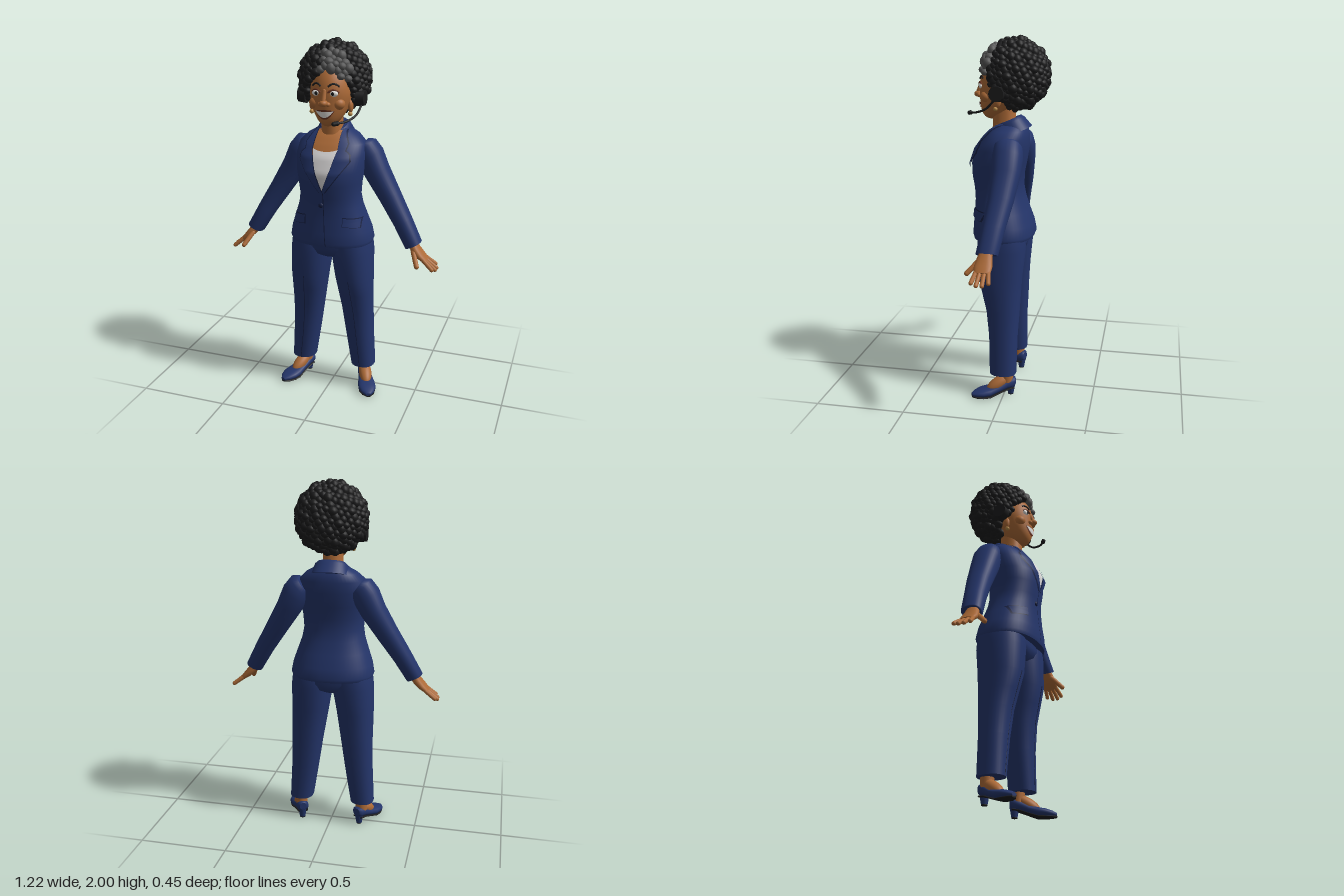
import * as THREE from 'three';
import { mergeGeometries } from 'three/addons/utils/BufferGeometryUtils.js';

const P = 2.3; // roundness of the cross-sections

const paint = (name, color) => {
  const m = new THREE.MeshStandardMaterial({ color });
  m.name = name;
  return m;
};

// Loft through rings [x, y, z, radiusX, radiusZ, tilt], listed up or down, with end caps
function loft(rows, n = 32) {
  const pos = [], idx = [], up = rows[rows.length - 1][1] > rows[0][1];
  const tri = (a, b, c) => (up ? idx.push(a, c, b) : idx.push(a, b, c));
  const pow = (v) => Math.sign(v) * Math.abs(v) ** (2 / P);
  const ring = ([x, y, z, rx, rz, t = 0]) => {
    for (let j = 0; j < n; j++) {
      const a = (j / n) * Math.PI * 2, u = rx * pow(Math.cos(a));
      pos.push(x + u * Math.cos(t), y + u * Math.sin(t), z + rz * pow(Math.sin(a)));
    }
  };
  rows.forEach(ring);
  for (let i = 0; i < rows.length - 1; i++)
    for (let j = 0; j < n; j++) {
      const k = (j + 1) % n, a = i * n, b = a + n;
      tri(a + j, a + k, b + j);
      tri(a + k, b + k, b + j);
    }
  [rows[0], rows[rows.length - 1]].forEach((r, e) => {
    const s = pos.length / 3;
    ring(r);
    pos.push(r[0], r[1], r[2]);
    for (let j = 0; j < n; j++) {
      const k = (j + 1) % n;
      e ? tri(s + j, s + k, s + n) : tri(s + k, s + j, s + n);
    }
  });
  return finish(pos, idx);
}

function finish(pos, idx) {
  const g = new THREE.BufferGeometry();
  g.setAttribute('position', new THREE.Float32BufferAttribute(pos, 3));
  g.setIndex(idx);
  g.computeVertexNormals();
  return g;
}

// Thin plate that follows a front surface; at(u, v) gives [x, y]
function patch(surface, at, off, flip = false, n = 14) {
  const pos = [], idx = [];
  for (let i = 0; i <= n; i++)
    for (let j = 0; j <= n; j++) {
      const [x, y] = at(flip ? 1 - j / n : j / n, i / n);
      pos.push(x, y, surface(x, y) + off);
    }
  for (let i = 0; i < n; i++)
    for (let j = 0; j < n; j++) {
      const a = i * (n + 1) + j, c = a + n + 1;
      idx.push(a, a + 1, c, a + 1, c + 1, c);
    }
  return finish(pos, idx);
}

// Piecewise linear lookup in [[key, value...]]
function lookup(table, key, col = 1) {
  let i = 0;
  while (i < table.length - 2 && key > table[i + 1][0]) i++;
  const a = table[i], b = table[i + 1];
  return THREE.MathUtils.lerp(a[col], b[col], THREE.MathUtils.clamp((key - a[0]) / (b[0] - a[0]), 0, 1));
}

const ball = (x, y, z, rx, ry = rx, rz = rx, w = 24, h = 16) =>
  new THREE.SphereGeometry(1, w, h).scale(rx, ry, rz).translate(x, y, z);

const tube = (pts, r, seg = 16) =>
  new THREE.TubeGeometry(new THREE.CatmullRomCurve3(pts.map((p) => new THREE.Vector3(...p))), seg, r, 8);

function finger(a, b, r) {
  const A = new THREE.Vector3(...a), d = new THREE.Vector3(...b).sub(A), len = d.length();
  const q = new THREE.Quaternion().setFromUnitVectors(new THREE.Vector3(0, 1, 0), d.clone().normalize());
  return new THREE.CapsuleGeometry(r, len, 6, 10).applyQuaternion(q).translate(...A.addScaledVector(d, 0.5).toArray());
}

// Jacket body: [y, half width, back z, front z]
const BODY = [
  [0.905, 0.228, -0.138, 0.195], [0.925, 0.236, -0.146, 0.2], [0.98, 0.226, -0.135, 0.197], [1.05, 0.202, -0.11, 0.19],
  [1.12, 0.178, -0.088, 0.188], [1.18, 0.168, -0.077, 0.192], [1.25, 0.174, -0.078, 0.204], [1.32, 0.186, -0.092, 0.206],
  [1.4, 0.193, -0.105, 0.178], [1.46, 0.183, -0.106, 0.135], [1.5, 0.142, -0.1, 0.1], [1.535, 0.08, -0.08, 0.06],
];
const bodyZ = (x, y) => {
  const rx = lookup(BODY, y), b = lookup(BODY, y, 2), f = lookup(BODY, y, 3);
  return (b + f) / 2 + ((f - b) / 2) * Math.max(0, 1 - Math.abs(x / rx) ** P) ** (1 / P);
};

// Head: ellipsoid with a narrower, forward jaw
const HEAD = { y: 1.72, z: 0.05, rx: 0.112, ry: 0.165, rz: 0.115 };
const jaw = (y) => Math.max(0, (HEAD.y - y) / HEAD.ry);
const headZ = (x, y) => {
  const t = (y - HEAD.y) / HEAD.ry, j = jaw(y), w = HEAD.rx * (1 - 0.15 * j);
  return HEAD.z + 0.05 * j * j + HEAD.rz * Math.sqrt(Math.max(0, 1 - t * t - (x / w) ** 2));
};

export function createModel() {
  const navy = paint('navy cloth', 0x24356a), seam = paint('dark navy seam', 0x151f42);
  const skin = paint('skin', 0xac6a37), lips = paint('lip brown', 0x6b3522), white = paint('white', 0xf0eeea);
  const cloth = paint('blouse', 0xdad8d8), black = paint('black', 0x1c1c1d), grey = paint('grey hair', 0x565656);
  const gold = paint('gold', 0xb88a48);
  const model = new THREE.Group();
  const add = (name, geo, mat) => {
    const m = new THREE.Mesh(geo, mat);
    m.name = name;
    model.add(m);
    return m;
  };

  // Jacket, collar and hips
  add('jacketBody', loft(BODY.map(([y, rx, b, f]) => [0, y, (b + f) / 2, rx, (f - b) / 2]), 48), navy);
  add('collar', loft([[0, -0.04, 0, 0.108, 0.1], [0, 0.02, 0, 0.09, 0.078], [0, 0.035, 0, 0.074, 0.066]])
    .rotateX(0.38).translate(0, 1.52, -0.012), navy);
  add('hips', loft([[0, 0.96, 0.025, 0.215, 0.13], [0, 0.88, 0.025, 0.225, 0.132], [0, 0.84, 0.025, 0.16, 0.12], [0, 0.82, 0.025, 0.05, 0.09]]), navy);

  // Neck, neckline and blouse
  add('neck', loft([[0, 1.44, 0.02, 0.07, 0.08], [0, 1.53, 0.03, 0.056, 0.064], [0, 1.66, 0.035, 0.055, 0.06]]), skin);
  const vee = [[1.22, 0], [1.34, 0.045], [1.44, 0.072], [1.53, 0.068]];
  const opening = (y0, y1) => (u, v) => {
    const y = y0 + (y1 - y0) * v;
    return [(2 * u - 1) * lookup(vee, y), y];
  };
  add('neckline', patch(bodyZ, opening(1.41, 1.53), 0.004), skin);
  add('blouse', patch(bodyZ, (u, v) => {
    const [x, y] = opening(1.22, 1.43)(u, v);
    return [x, y + 0.012 * v * (2 * u - 1) ** 2];
  }, 0.007), cloth);

  // Lapels, pocket flaps, front edge and button
  const lapelEdge = [[1.215, 0.012], [1.3, 0.075], [1.385, 0.138], [1.425, 0.132], [1.435, 0.108], [1.47, 0.116], [1.535, 0.08]];
  for (const s of [1, -1]) {
    const lapel = (grow) => (u, v) => {
      const y = 1.215 + 0.32 * v;
      return [s * THREE.MathUtils.lerp(lookup(vee, y) - grow / 2, lookup(lapelEdge, y) + grow, u), y];
    };
    add('lapelEdge', patch(bodyZ, lapel(0.006), 0.009, s < 0, 30), seam);
    add('lapel', patch(bodyZ, lapel(0), 0.014, s < 0, 30), navy);
    const flap = (g) => (u, v) => [s * (0.108 - g + (0.082 + 2 * g) * u), 1.03 - g + (0.045 + 2 * g) * v - 0.012 * u];
    add('pocketEdge', patch(bodyZ, flap(0.004), 0.005, s < 0), seam);
    add('pocketFlap', patch(bodyZ, flap(0), 0.01, s < 0), navy);
  }
  add('jacketFrontEdge', patch(bodyZ, (u, v) => [0.004 * u + 0.014 * (1 - v) ** 2, 0.91 + 0.31 * v], 0.003), seam);
  add('button', ball(-0.012, 1.14, bodyZ(0, 1.14), 0.014, 0.014, 0.008), seam);

  for (const s of [1, -1]) {
    const side = (rows) => rows.map(([x, y, z, a, b, t = 0]) => [s * x, y, z, a, b, s * t]);

    // Sleeve and hand
    add('sleeve', loft(side([
      [0.15, 1.43, -0.025, 0.055, 0.06, 0.95], [0.172, 1.42, -0.025, 0.072, 0.076, 0.85], [0.2, 1.375, -0.025, 0.078, 0.082, 0.66],
      [0.237, 1.3, -0.025, 0.07, 0.077, 0.5], [0.317, 1.17, -0.012, 0.06, 0.068, 0.5], [0.398, 1.04, 0.01, 0.052, 0.061, 0.5],
      [0.466, 0.92, 0.03, 0.047, 0.058, 0.45], [0.464, 0.924, 0.03, 0.036, 0.046, 0.45],
    ])), navy);
    add('palm', loft(side([
      [0.455, 0.94, 0.033, 0.026, 0.032, 0.5], [0.48, 0.9, 0.038, 0.025, 0.042, 0.65], [0.51, 0.868, 0.04, 0.021, 0.048, 0.75],
      [0.54, 0.842, 0.04, 0.014, 0.043, 0.8],
    ]), 20), skin);
    [[0.007, -0.004, 0.585, 0.81], [0.029, 0.027, 0.597, 0.799], [0.051, 0.058, 0.595, 0.798], [0.072, 0.087, 0.583, 0.806]].forEach(([z0, z1, x, y]) =>
      add('finger', finger([s * 0.53, 0.85, z0], [s * x, y, z1], 0.0115), skin));
    add('thumb', finger([s * 0.475, 0.89, 0.07], [s * 0.508, 0.83, 0.126], 0.0135), skin);

    // Trouser leg with crease
    const leg = side([
      [0.115, 0.92, 0.025, 0.112, 0.13], [0.118, 0.85, 0.025, 0.117, 0.135], [0.131, 0.7, 0.03, 0.105, 0.124], [0.139, 0.6, 0.021, 0.097, 0.108],
      [0.147, 0.5, 0.011, 0.089, 0.093], [0.16, 0.35, 0.007, 0.08, 0.08], [0.183, 0.135, 0.005, 0.068, 0.075],
    ]);
    add('trouserLeg', loft(leg), navy);
    add('trouserCrease', tube(leg.slice(2).map(([x, y, z, , b]) => [x, y, z + b]), 0.0025), seam);

    // Foot and heeled shoe, turned outward
    const foot = (name, geo, mat) => add(name, geo.rotateY(s * 0.42).translate(s * 0.188, 0, -0.005), mat);
    foot('ankle', new THREE.CylinderGeometry(0.036, 0.034, 0.13, 20).translate(0, 0.125, -0.015), skin);
    foot('instep', ball(0, 0, 0, 0.036, 0.034, 0.08).rotateX(0.55).translate(0, 0.075, 0.035), skin);
    // [along, height, half width, half height]
    const last = [[-0.062, 0.08, 0.02, 0.022], [-0.05, 0.078, 0.034, 0.032], [-0.01, 0.068, 0.038, 0.028], [0.04, 0.046, 0.04, 0.023],
      [0.09, 0.032, 0.05, 0.025], [0.13, 0.028, 0.05, 0.022], [0.165, 0.023, 0.037, 0.016], [0.19, 0.018, 0.014, 0.009]];
    foot('shoe', loft(last.map(([l, h, w, r]) => [0, l, -h, w, r]), 24).rotateX(Math.PI / 2), navy);
    foot('sole', loft(last.slice(1).map(([l, h, w, r]) => [0, l, r - h + 0.001, w * 0.92, 0.006]), 24).rotateX(Math.PI / 2), black);
    foot('heel', new THREE.CylinderGeometry(0.027, 0.016, 0.062, 16).translate(0, 0.033, -0.036), navy);
    foot('heelTip', new THREE.CylinderGeometry(0.0165, 0.0165, 0.006, 16).translate(0, 0.003, -0.036), black);
  }

  // Head and face
  const head = ball(0, 0, 0, HEAD.rx, HEAD.ry, HEAD.rz, 40, 30), hp = head.attributes.position;
  for (let i = 0; i < hp.count; i++) {
    const j = jaw(hp.getY(i) + HEAD.y);
    hp.setX(i, hp.getX(i) * (1 - 0.15 * j));
    hp.setZ(i, hp.getZ(i) + 0.05 * j * j);
  }
  head.computeVertexNormals();
  add('head', head.translate(0, HEAD.y, HEAD.z), skin);
  add('nose', ball(0, 1.688, 0.172, 0.022, 0.018, 0.027), skin);
  add('noseBridge', finger([0, 1.75, 0.157], [0, 1.695, 0.177], 0.012), skin);
  const smile = (h) => (u, v) => {
    const k = 2 * u - 1;
    return [k * (0.046 + h / 4), 1.627 + 0.02 * k * k + (2 * v - 1) * h * (1 - k * k)];
  };
  add('lips', patch(headZ, smile(0.026), 0.005), lips);
  add('teeth', patch(headZ, smile(0.016), 0.009), white);
  for (const s of [1, -1]) {
    add('nostrilWing', ball(s * 0.02, 1.682, 0.163, 0.014, 0.012, 0.016), skin);
    add('cheek', ball(s * 0.062, 1.68, 0.117, 0.036, 0.032, 0.034), skin);
    add('eye', ball(s * 0.046, 1.737, 0.148, 0.025, 0.017, 0.014), white);
    add('iris', ball(s * 0.045, 1.737, 0.159, 0.009, 0.01, 0.005), black);
    const arc = (y, h) => [-1, -0.3, 0.4, 1].map((k) => {
      const x = s * (0.046 + 0.027 * k), yy = y + h * (1 - k * k);
      return [x, yy, headZ(x, yy) + 0.003];
    });
    add('eyelid', tube(arc(1.742, 0.014), 0.005), lips);
    add('eyebrow', tube(arc(1.772, 0.014), 0.005), black);
    add('ear', ball(s * 0.108, 1.66, 0.05, 0.014, 0.035, 0.022), skin);
    add('earring', ball(s * 0.108, 1.62, 0.058, 0.012), gold);
    // Headset ear pad
    add('earPad', new THREE.CylinderGeometry(0.04, 0.046, 0.045, 28).rotateZ(-s * Math.PI / 2).translate(s * 0.162, 1.705, 0.04), black);
  }
  add('microphoneBoom', tube([[0.17, 1.68, 0.045], [0.155, 1.625, 0.1], [0.12, 1.6, 0.165], [0.08, 1.595, 0.205]], 0.006, 24), black);
  add('microphone', finger([0.085, 1.595, 0.2], [0.068, 1.592, 0.21], 0.012), black);

  // Curly hair: tufts spread evenly over an ellipsoid, leaving the face open
  add('hairCore', ball(-0.005, 1.795, -0.04, 0.174, 0.172, 0.158, 32, 24), black);
  const tufts = [[], []], N = 400;
  for (let i = 0; i < N; i++) {
    const h = 1 - (2 * (i + 0.5)) / N, a = i * 2.39996, r = Math.sqrt(1 - h * h), wob = 1 + 0.025 * Math.sin(i * 7.3);
    const x = -0.005 + 0.178 * r * Math.cos(a) * wob, y = 1.795 + 0.174 * h * wob, z = -0.03 + 0.17 * r * Math.sin(a) * wob;
    if (z > 0.015 && (x / 0.12) ** 2 + ((y - 1.69) / 0.16) ** 2 < 1) continue;
    if (z > 0.0 && y < 1.66 && Math.abs(x) < 0.12) continue;
    const isGrey = z > 0.06 && y > 1.8 && y < 1.965 && x > -0.035 && x < 0.115;
    const size = 0.023 + 0.004 * Math.sin(i * 3.7), f = isGrey ? 0.012 : 0;
    tufts[isGrey ? 1 : 0].push(ball(x, y, z + f, size, size * (1 + 0.15 * Math.sin(i)), size, 12, 8));
  }
  add('hairTufts', mergeGeometries(tufts[0]), black);
  add('greyStreak', mergeGeometries(tufts[1]), grey);
  return model;
}
